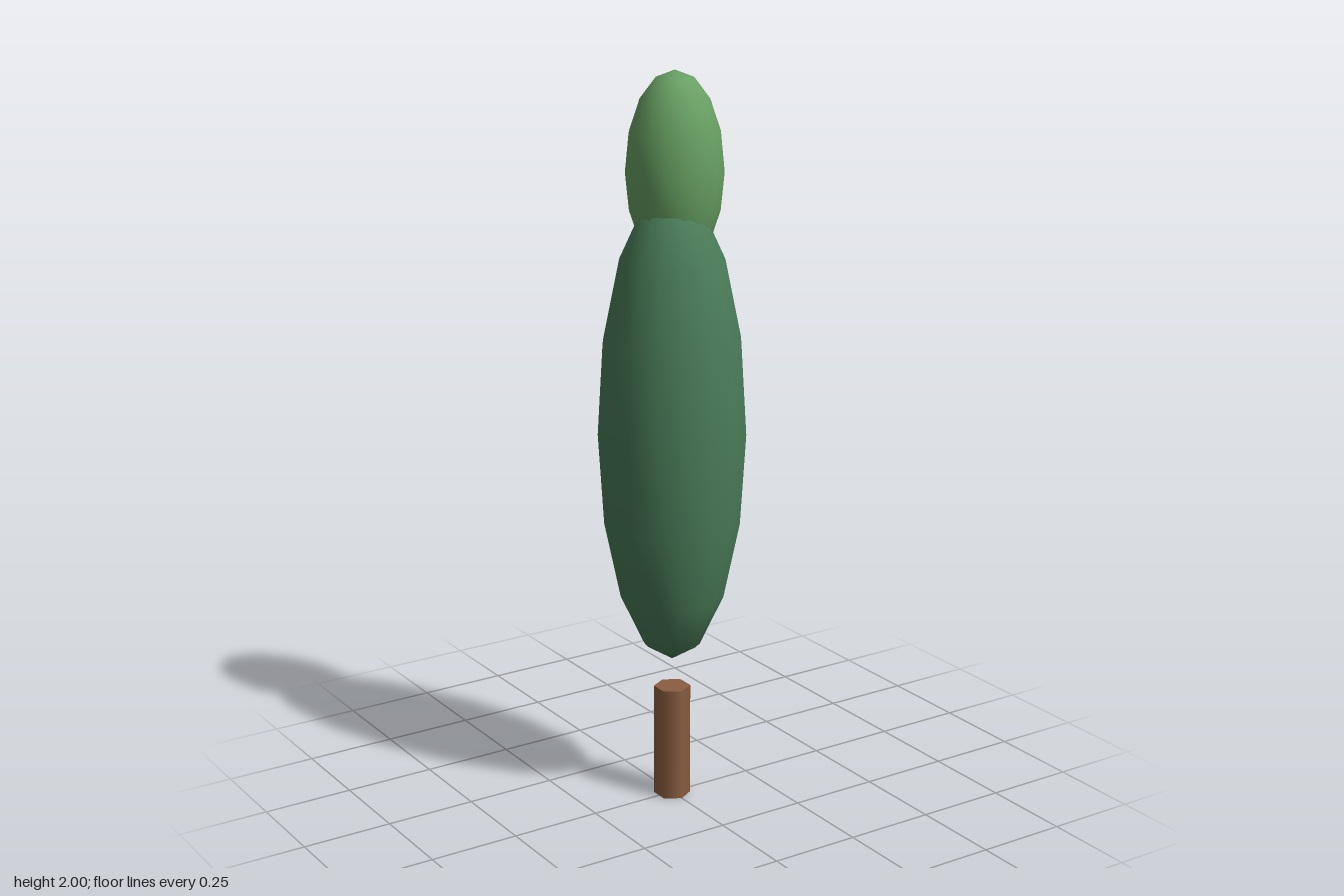
import * as THREE from 'three';

function material(name, color) {
  const m = new THREE.MeshStandardMaterial({ color });
  m.name = name;
  return m;
}

export function createModel() {
  const tree = new THREE.Group();
  tree.name = 'tree';

  const bark = material('bark brown', 0x8b5e42);
  const darkLeaf = material('dark leaf green', 0x4a7c59);
  const lightLeaf = material('light leaf green', 0x68a063);

  // Six-sided trunk
  const trunk = new THREE.Mesh(new THREE.CylinderGeometry(0.05, 0.05, 0.32, 6), bark);
  trunk.name = 'trunk';
  trunk.position.y = 0.16;
  tree.add(trunk);

  // Stretched, smooth-shaded foliage blobs
  function addFoliage(name, mat, radius, halfHeight, x, y, z) {
    const geometry = new THREE.SphereGeometry(1, 16, 8).scale(radius, halfHeight, radius);
    const mesh = new THREE.Mesh(geometry, mat);
    mesh.name = name;
    mesh.position.set(x, y, z);
    tree.add(mesh);
  }
  addFoliage('mainFoliage', darkLeaf, 0.2, 0.65, 0, 1.05, 0);
  addFoliage('topFoliage', lightLeaf, 0.131, 0.26, 0.026, 1.74, -0.027);

  return tree;
}
